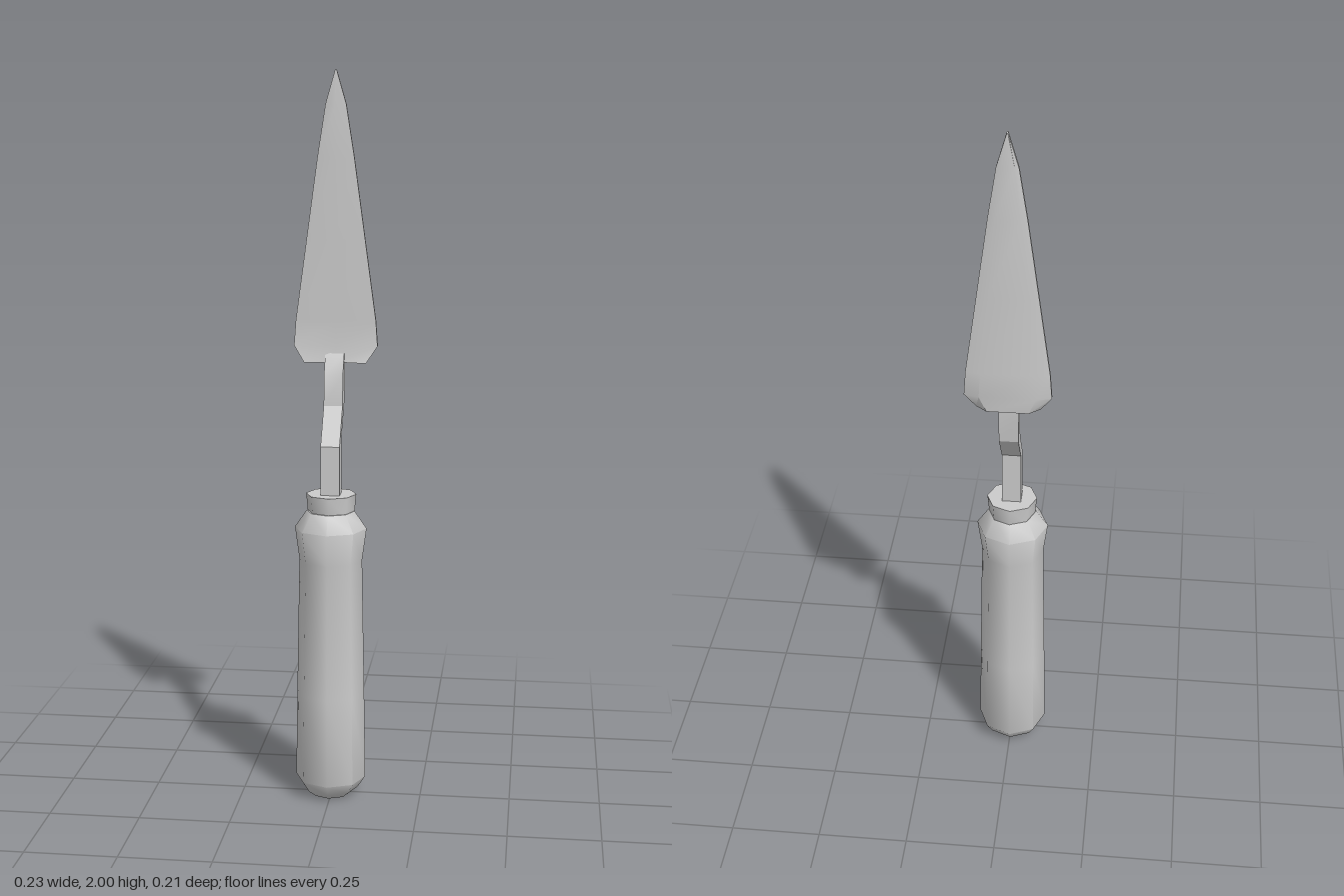
import * as THREE from 'three';
import { toCreasedNormals } from 'three/addons/utils/BufferGeometryUtils.js';

const material = new THREE.MeshStandardMaterial({ color: 0xcccccc });

// Skin over a stack of rings, each ordered anticlockwise as seen from above
function loft(rings) {
  const n = rings[0].length;
  const index = [];
  for (let i = 0; i < rings.length - 1; i++) {
    for (let j = 0; j < n; j++) {
      const a = i * n + j, b = i * n + (j + 1) % n;
      index.push(a, b, b + n, a, b + n, a + n);
    }
  }
  const top = (rings.length - 1) * n;
  for (let k = 1; k < n - 1; k++) {
    index.push(0, k + 1, k, top, top + k, top + k + 1);
  }
  const geometry = new THREE.BufferGeometry();
  geometry.setAttribute('position', new THREE.Float32BufferAttribute(rings.flat(2), 3));
  geometry.setIndex(index);
  return geometry;
}

// Eight-sided turned part from [radius, height] pairs
function turned(profile) {
  return new THREE.LatheGeometry(profile.map(([r, y]) => new THREE.Vector2(r, y)), 8);
}

export function createModel() {
  const group = new THREE.Group();
  const add = (name, geometry, crease) => {
    const mesh = new THREE.Mesh(toCreasedNormals(geometry, crease), material);
    mesh.name = name;
    group.add(mesh);
    return mesh;
  };

  // Grip with chamfered ends and a slightly narrower neck
  const grip = add('grip', turned([
    [0, 0], [0.055, 0], [0.077, 0.018], [0.098, 0.05], [0.094, 0.3],
    [0.087, 0.68], [0.099, 0.77], [0.066, 0.818], [0, 0.818],
  ]), 0.9);
  grip.position.set(-0.003, 0, 0.003);

  // Ferrule on top of the grip
  const ferrule = add('ferrule', turned([
    [0, 0.81], [0.064, 0.81], [0.069, 0.865], [0, 0.865],
  ]), 0.9);
  ferrule.position.set(-0.002, 0, 0);

  // Cranked square shank: [front y, front z, back y, back z]
  const w = 0.026, cx = -0.002;
  add('shank', loft([
    [0.85, 0.028, 0.85, -0.022],
    [1.0, 0.028, 1.02, -0.022],
    [1.1, -0.044, 1.115, -0.094],
    [1.185, -0.051, 1.2, -0.102],
    [1.24, -0.081, 1.235, -0.102],
  ].map(([fy, fz, by, bz]) => [
    [cx - w, fy, fz], [cx + w, fy, fz], [cx + w, by, bz], [cx - w, by, bz],
  ])), 0.5);

  // Blade: [height, half width, centre front z, rim front z, rim back z, back z]
  add('blade', loft([
    [1.215, 0.085, -0.084, -0.068, -0.082, -0.106],
    [1.26, 0.115, -0.084, -0.085, -0.098, -0.109],
    [1.33, 0.11, -0.083, -0.087, -0.098, -0.105],
    [1.55, 0.08, -0.083, -0.087, -0.097, -0.102],
    [1.77, 0.05, -0.083, -0.087, -0.097, -0.102],
    [1.91, 0.028, -0.083, -0.087, -0.097, -0.101],
    [2.0, 0.002, -0.086, -0.087, -0.096, -0.098],
  ].map(([y, h, zc, zf, zr, zb]) => [
    [0, y, zc], [h, y, zf], [h, y, zr], [h * 0.65, y, zb],
    [-h * 0.65, y, zb], [-h, y, zr], [-h, y, zf],
  ])), 0.7);

  return group;
}
